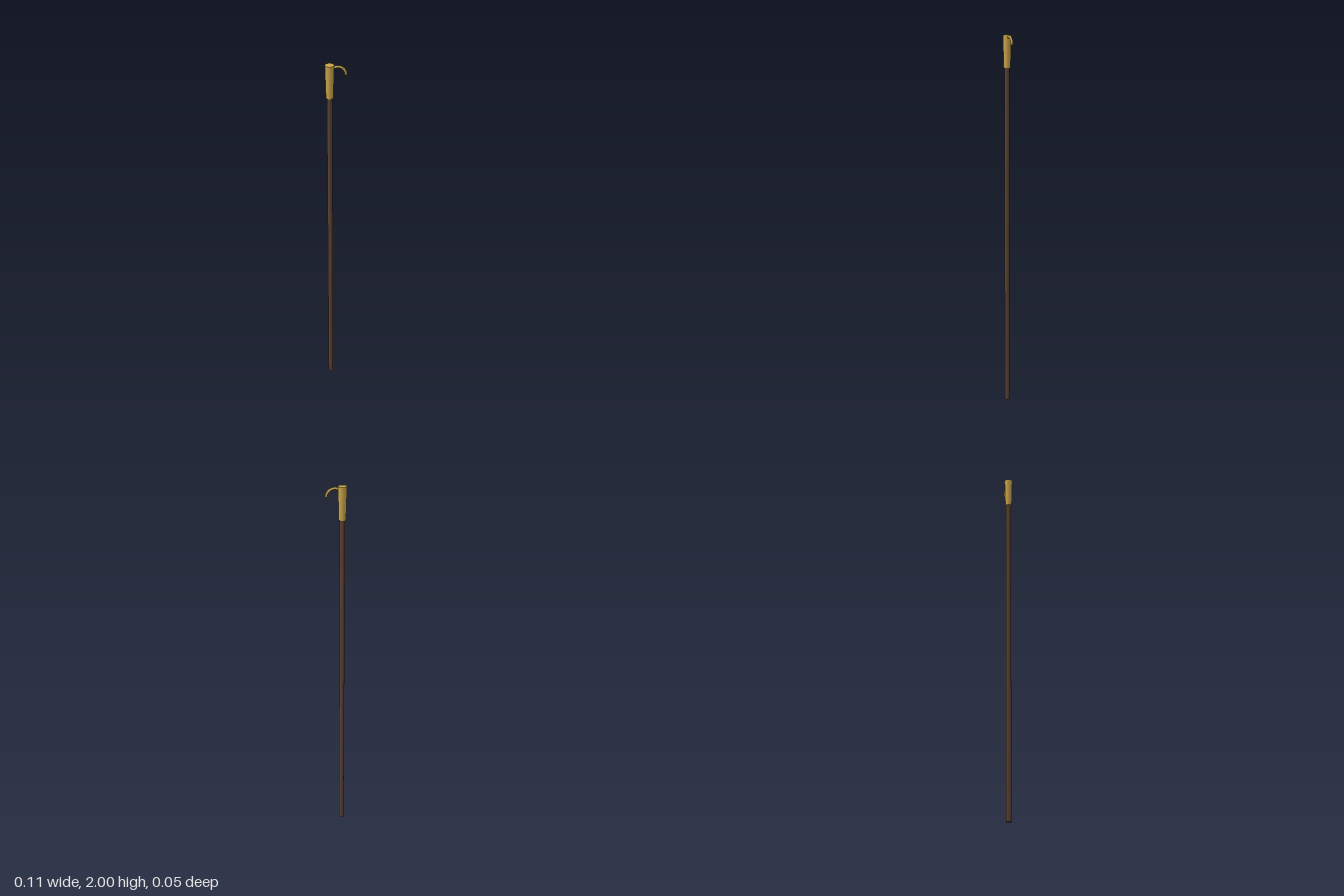
import * as THREE from 'three';

export function createModel() {
  const model = new THREE.Group();
  const wood = new THREE.MeshStandardMaterial({ color: 0x5a4032 });
  const brass = new THREE.MeshStandardMaterial({ color: 0xc9a448 });
  const axisX = -0.032;

  const add = (name, geometry, material, x, y) => {
    const mesh = new THREE.Mesh(geometry, material);
    mesh.name = name;
    mesh.position.set(x, y, 0);
    model.add(mesh);
    return mesh;
  };

  // Long wooden shaft
  add('shaft', new THREE.CylinderGeometry(0.0135, 0.0135, 1.85, 24), wood, axisX, 0.925);

  // Brass socket, flaring towards its flat top
  add('socket', new THREE.CylinderGeometry(0.0225, 0.018, 0.17, 32), brass, axisX, 1.915);

  // Curved hook, rising out of the socket and bending down
  const bend = 0.043, thickness = 0.0063, hookX = 0.0045, hookY = 1.946;
  add('hook', new THREE.TorusGeometry(bend, thickness, 16, 32, Math.PI * 0.8), brass, hookX, hookY);

  // Flat end of the hook, facing down
  const tip = add('hookTip', new THREE.CircleGeometry(thickness, 16), brass, hookX + bend, hookY);
  tip.rotation.x = Math.PI / 2;

  return model;
}
